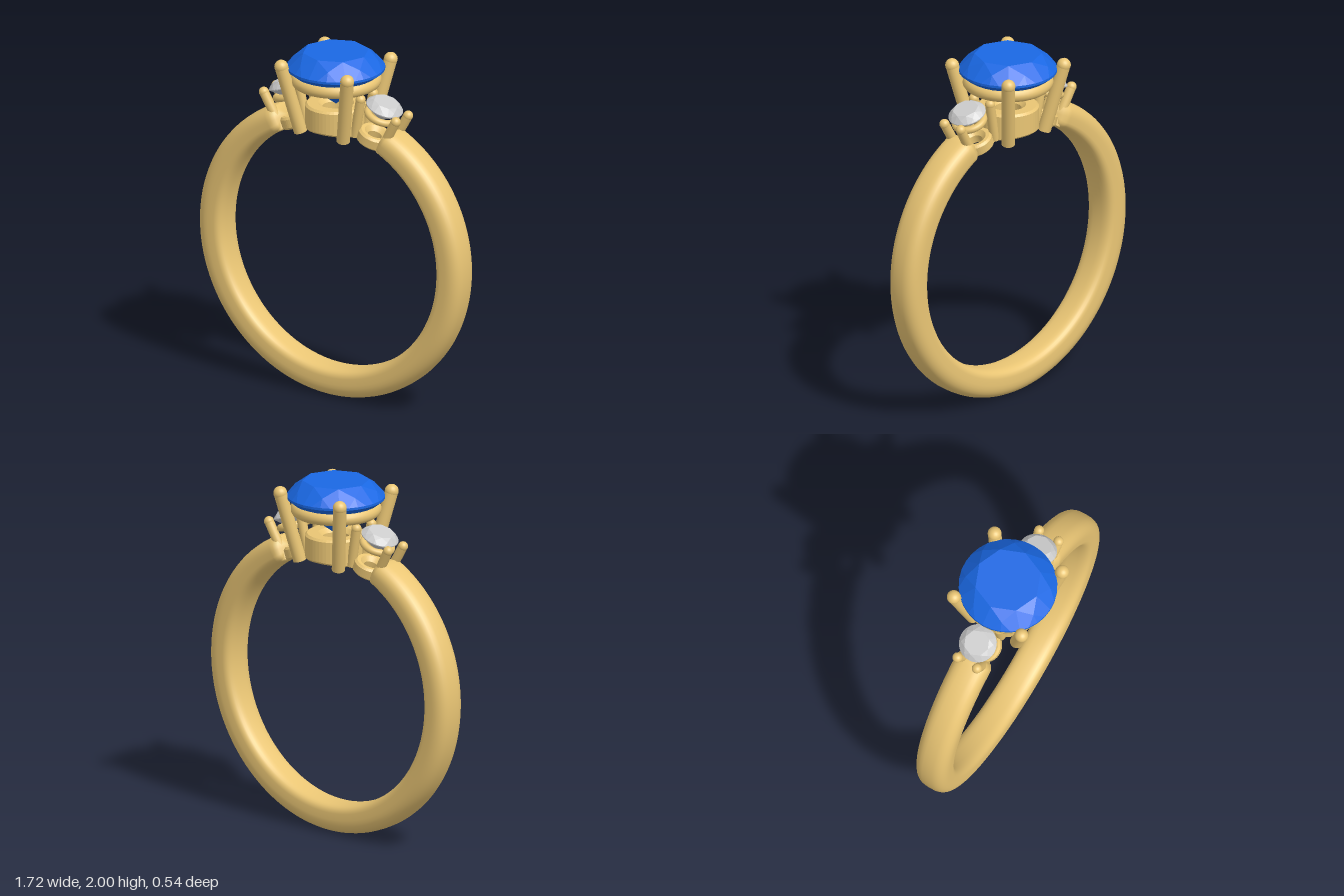
import * as THREE from 'three';
import { mergeVertices } from 'three/addons/utils/BufferGeometryUtils.js';
import { ConvexGeometry } from 'three/addons/geometries/ConvexGeometry.js';

const CENTRE = 0.864, INNER = 0.695, OUTER = 0.862;
const gold = new THREE.MeshStandardMaterial({ color: 0xe9c574 });
const blue = new THREE.MeshStandardMaterial({ color: 0x1a68e4, flatShading: true });
const clear = new THREE.MeshStandardMaterial({ color: 0xcccccc, flatShading: true });

function add(parent, name, geometry, material) {
  const mesh = new THREE.Mesh(geometry, material);
  mesh.name = name;
  parent.add(mesh);
  return mesh;
}

// Open hoop: a torus arc reshaped to a rounded band with closed, rounded ends
function bandGeometry() {
  const gap = 0.42, arc = Math.PI * 2 - gap * 2;
  const geo = new THREE.TorusGeometry(1, 0.1, 32, 160, arc);
  const pos = geo.attributes.position, uv = geo.attributes.uv;
  const power = (v, p) => Math.sign(v) * Math.abs(v) ** p;
  for (let i = 0; i < pos.count; i++) {
    const along = uv.getX(i) * arc, a = Math.PI / 2 + gap + along;
    const t = uv.getY(i) * Math.PI * 2;
    const d = Math.min(1, Math.min(along, arc - along) / 0.07);
    const end = Math.sqrt(Math.max(0, 1 - (1 - d) ** 2));
    const up = (Math.sin(a) + 1) / 2;
    const half = (OUTER - INNER) / 2 - 0.012 * up ** 8;
    const c = Math.cos(t);
    const r = INNER + half + end * half * power(c, c > 0 ? 0.9 : 0.5);
    const z = end * (0.09 + 0.014 * up) * power(Math.sin(t), 0.7);
    pos.setXYZ(i, r * Math.cos(a), r * Math.sin(a), z);
  }
  geo.deleteAttribute('uv');
  geo.deleteAttribute('normal');
  const merged = mergeVertices(geo, 1e-5);
  merged.computeVertexNormals();
  return merged;
}

// Round brilliant with unit girdle radius, girdle at y = 0
function gemGeometry() {
  const points = [new THREE.Vector3(0, -0.8, 0)];
  const ring = (n, r, y, turn = 0) => {
    for (let i = 0; i < n; i++) {
      const a = (i + turn) / n * Math.PI * 2;
      points.push(new THREE.Vector3(r * Math.cos(a), y, r * Math.sin(a)));
    }
  };
  ring(8, 0.68, 0.34);
  ring(8, 0.87, 0.185, 0.5);
  ring(32, 1, 0.025);
  ring(32, 1, -0.025);
  ring(8, 0.5, -0.43, 0.5);
  return new ConvexGeometry(points);
}

// Round collar with a hole; its underside follows the finger opening.
// Local y is the distance from the hoop's centre.
function collarGeometry(outer, hole, top) {
  const b = 0.012, low = INNER;
  const profile = [
    [hole, low], [outer - b, low], [outer, low + b], [outer, top - b], [outer - b, top],
    [hole + b * 2, top], [hole, top - b * 2], [hole, low],
  ].map(([x, y]) => new THREE.Vector2(x, y));
  const geo = new THREE.LatheGeometry(profile, 48);
  const pos = geo.attributes.position;
  for (let i = 0; i < pos.count; i++) {
    const x = pos.getX(i), y = pos.getY(i);
    const drop = INNER - Math.sqrt(INNER * INNER - x * x);
    if (y < low + b * 1.5) pos.setY(i, y - drop);
  }
  const flat = geo.toNonIndexed();
  flat.computeVertexNormals();
  return flat;
}

// Straight claw with a ball tip
function addProng(parent, from, to, radius) {
  const prong = new THREE.Group();
  prong.name = 'prong';
  const dir = to.clone().sub(from), length = dir.length();
  const shaft = add(prong, 'prongShaft', new THREE.CylinderGeometry(radius, radius, length, 20), gold);
  shaft.position.y = length / 2;
  const tip = add(prong, 'prongTip', new THREE.SphereGeometry(radius * 1.04, 20, 14), gold);
  tip.position.y = length;
  prong.position.copy(from);
  prong.quaternion.setFromUnitVectors(new THREE.Vector3(0, 1, 0), dir.normalize());
  parent.add(prong);
}

// Complete setting, built upright with the hoop's centre as origin
function setting(name, s) {
  const group = new THREE.Group();
  group.name = name;
  const gem = add(group, 'gemstone', gemGeometry(), s.material);
  gem.scale.setScalar(s.gemRadius);
  gem.position.y = s.gemY;
  add(group, 'collar', collarGeometry(s.collar, s.hole, s.collarTop), gold);
  const rail = add(group, 'galleryRing', new THREE.TorusGeometry(s.railRadius, s.railTube, 16, 56), gold);
  rail.rotation.x = Math.PI / 2;
  rail.position.y = s.railY;
  for (const sx of [-1, 1]) for (const sz of [-1, 1]) {
    const [fx, fy, fz] = s.foot, [tx, ty, tz] = s.tip;
    addProng(group, new THREE.Vector3(sx * fx, fy, sz * fz),
      new THREE.Vector3(sx * tx, ty, sz * tz), s.prong);
  }
  group.position.y = CENTRE;
  return group;
}

export function createModel() {
  const model = new THREE.Group();
  model.name = 'ring';
  add(model, 'band', bandGeometry(), gold).position.y = CENTRE;

  // Large centre stone
  model.add(setting('centreSetting', {
    material: blue, gemRadius: 0.27, gemY: 1.908 - CENTRE,
    collar: 0.17, hole: 0.075, collarTop: 1.7 - CENTRE,
    railRadius: 0.212, railTube: 0.038, railY: 1.838 - CENTRE,
    foot: [0.14, 1.545 - CENTRE, 0.14], tip: [0.216, 1.93 - CENTRE, 0.216], prong: 0.037,
  }));

  // Smaller stones tilted outward on both shoulders
  for (const side of [-1, 1]) {
    const shoulder = setting(side > 0 ? 'leftSetting' : 'rightSetting', {
      material: clear, gemRadius: 0.105, gemY: 0.93,
      collar: 0.095, hole: 0.04, collarTop: 0.765,
      railRadius: 0.08, railTube: 0.02, railY: 0.875,
      foot: [0.088, 0.7, 0.05], tip: [0.122, 0.925, 0.062], prong: 0.027,
    });
    shoulder.rotation.z = -side * 0.35;
    model.add(shoulder);
  }
  return model;
}
